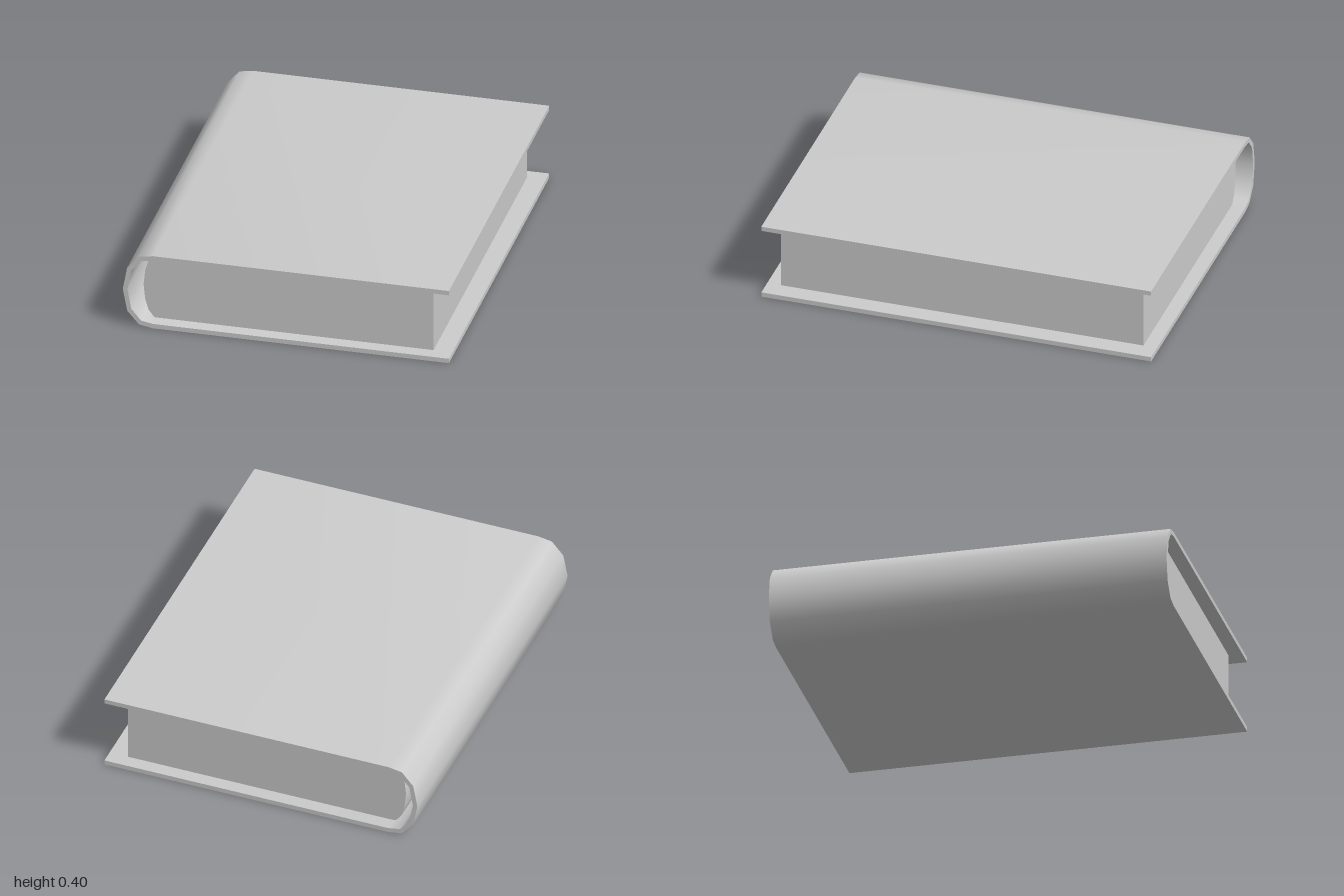
import * as THREE from 'three';
import { toCreasedNormals } from 'three/addons/utils/BufferGeometryUtils.js';

const MID = 0.199; // half the thickness of the closed book

// Mirror an upper half profile, listed from the fore edge to the spine tip.
function mirrorProfile(upper) {
  const lower = upper.slice(0, -1).reverse().map(([x, y]) => [x, -y]);
  return [...upper, ...lower];
}

// Extrude an outline along z, centred, rounding only the gentle bends.
function extrudeProfile(name, points, depth, material) {
  const shape = new THREE.Shape(points.map(([x, y]) => new THREE.Vector2(x, y + MID)));
  const geometry = new THREE.ExtrudeGeometry(shape, { depth, bevelEnabled: false });
  geometry.translate(0, 0, -depth / 2);
  const mesh = new THREE.Mesh(toCreasedNormals(geometry, 0.75), material);
  mesh.name = name;
  return mesh;
}

export function createModel() {
  const book = new THREE.Group();
  book.name = 'book';
  const material = new THREE.MeshStandardMaterial({ color: 0xcccccc });

  // Cover: two flat boards joined by a rounded spine of even thickness
  const outer = mirrorProfile([[0.82, 0.199], [-0.67, 0.199], [-0.74, 0.187], [-0.80, 0.118], [-0.822, 0]]);
  const inner = mirrorProfile([[0.82, 0.175], [-0.67, 0.175], [-0.73, 0.164], [-0.78, 0.104], [-0.798, 0]]);
  book.add(extrudeProfile('cover', [...outer, ...inner.reverse()], 2, material));

  // Page block: square fore edge and rounded back, set in from the boards
  const pages = mirrorProfile([[0.725, 0.175], [-0.68, 0.175], [-0.71, 0.137], [-0.727, 0.078], [-0.735, 0]]);
  book.add(extrudeProfile('pages', pages, 1.86, material));

  return book;
}
